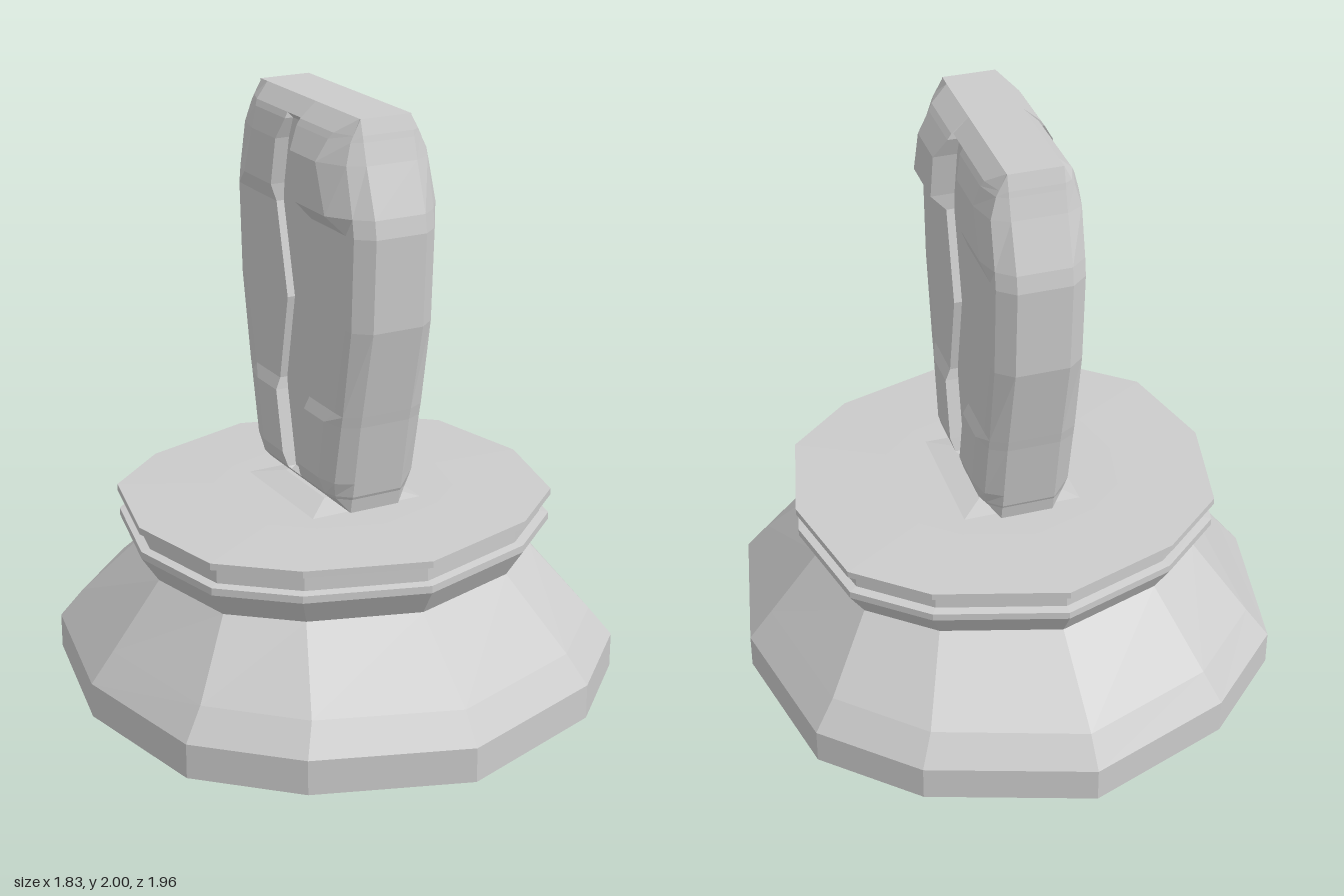
import * as THREE from 'three';

const material = new THREE.MeshStandardMaterial({ color: 0xcccccc, flatShading: true });

// Skin a stack of equal-length rings of [x, y, z]; rings run from +z towards +x.
function loft(name, rings) {
  const n = rings[0].length;
  const index = [];
  for (let i = 0; i < rings.length - 1; i++) {
    for (let j = 0; j < n; j++) {
      const a = i * n + j, b = i * n + (j + 1) % n;
      index.push(a, b, b + n, a, b + n, a + n);
    }
  }
  const geometry = new THREE.BufferGeometry();
  geometry.setAttribute('position', new THREE.Float32BufferAttribute(rings.flat(2), 3));
  geometry.setIndex(index);
  const flat = geometry.toNonIndexed();
  flat.computeVertexNormals();
  const mesh = new THREE.Mesh(flat, material);
  mesh.name = name;
  return mesh;
}

// Uneven twelve-sided outline of the pedestal, mirrored from one quarter
const quarter = [[0.57, 0.815], [0.885, 0.535]];
const outline = [
  [-0.02, 1], ...quarter, [1, 0.01],
  ...quarter.map(([x, z]) => [x, -z]).reverse(),
  [-0.02, -1], ...quarter.map(([x, z]) => [-x, -z]), [-1, 0.01],
  ...quarter.map(([x, z]) => [-x, z]).reverse(),
];

function createPedestal() {
  // [half width, half depth, height], from the hole underneath to the top centre
  const profile = [
    [0, 0, 0.3], [0.15, 0.16, 0.3], [0.15, 0.16, 0],
    [0.47, 0.51, 0], [0.47, 0.51, 0.15],
    [0.74, 0.8, 0.15], [0.74, 0.8, 0],
    [0.915, 0.98, 0], [0.915, 0.98, 0.12], [0.835, 0.905, 0.22], [0.66, 0.63, 0.44],
    [0.72, 0.685, 0.53], [0.72, 0.685, 0.555], [0.69, 0.655, 0.56], [0.69, 0.655, 0.62],
    [0.725, 0.69, 0.62], [0.725, 0.69, 0.643], [0.4, 0.38, 0.652], [0, 0, 0.652],
  ];
  return loft('pedestal', profile.map(([w, d, y]) => outline.map(([x, z]) => [x * w, y, z * d])));
}

// Low four-sided mound joining the slab to the pedestal
function createMound() {
  const rows = [[0.22, 0.25, 0.648], [0.11, 0.14, 0.675], [0, 0, 0.675]];
  return loft('mound', rows.map(([x, z, y]) => [[-x, y, z], [x, y, z], [x, y, -z], [-x, y, -z]]));
}

// Coffin-shaped slab with raised pads and a diamond groove on both faces
function createSlab() {
  const rim = 0.09;
  // y, rim z, face edge z, pad edge z, groove z, face x, front pad x, back pad x, groove floor x
  const rows = [
    [0.67, 0.285, 0.285, 0.26, 0.04, 0.09, 0.09, 0.09, 0.09],
    [0.72, 0.295, 0.26, 0.23, 0.04, 0.13, 0.14, 0.14, 0.14],
    [0.73, 0.3, 0.26, 0.22, 0.045, 0.135, 0.15, 0.15, 0.12],
    [0.78, 0.31, 0.275, 0.2, 0.055, 0.145, 0.165, 0.165, 0.12],
    [0.99, 0.35, 0.32, 0.24, 0.1, 0.145, 0.165, 0.165, 0.12],
    [1.03, 0.36, 0.33, 0.28, 0.105, 0.145, 0.147, 0.147, 0.12],
    [1.33, 0.43, 0.385, 0.35, 0.045, 0.145, 0.147, 0.147, 0.12],
    [1.64, 0.445, 0.4, 0.35, 0.12, 0.145, 0.147, 0.147, 0.12],
    [1.7, 0.435, 0.39, 0.31, 0.115, 0.145, 0.2, 0.17, 0.12],
    [1.86, 0.38, 0.35, 0.25, 0.08, 0.145, 0.2, 0.17, 0.12],
    [1.93, 0.36, 0.34, 0.26, 0.05, 0.125, 0.16, 0.15, 0.12],
    [1.95, 0.355, 0.34, 0.27, 0.05, 0.115, 0.147, 0.14, 0.14],
    [2, 0.34, 0.335, 0.29, 0.05, 0.09, 0.09, 0.09, 0.09],
  ];
  const rings = rows.map(([y, zRim, zFace, zPad, zGroove, face, front, back, floor]) => {
    const side = [
      [rim, y, zRim], [face, y, zFace], [front, y, zPad], [front, y, zGroove], [floor, y, zGroove],
      [floor, y, -zGroove], [back, y, -zGroove], [back, y, -zPad], [face, y, -zFace], [rim, y, -zRim],
    ];
    return [...side, ...side.map(([x, h, z]) => [-x, h, z]).reverse()];
  });
  // Close both ends
  const end = (y) => rings[0].map(() => [0, y, 0]);
  return loft('slab', [end(0.67), ...rings, end(2)]);
}

export function createModel() {
  const model = new THREE.Group();
  model.name = 'slabOnPedestal';
  model.add(createPedestal(), createMound(), createSlab());
  return model;
}
